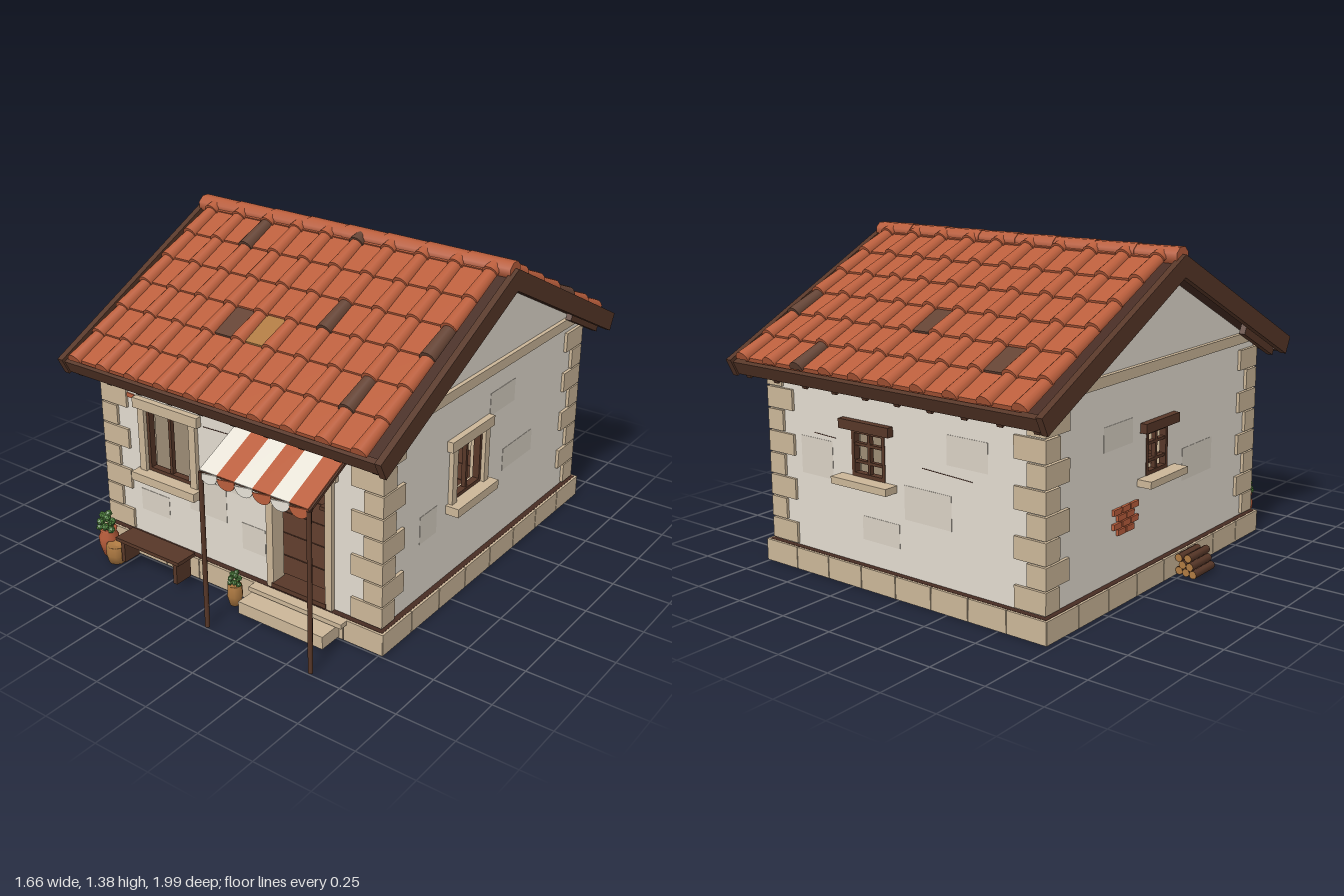
import * as THREE from 'three';

const mat = (name, color) => new THREE.MeshStandardMaterial({ name, color });

export function createModel() {
  const M = {
    plaster: mat('plaster', 0xe2dbcf),
    patch: mat('worn plaster', 0xd8d0c3),
    stone: mat('stone', 0xcbb698),
    tile: mat('terracotta', 0xba5e3c),
    wood: mat('brown wood', 0x573728),
    dark: mat('dark wood', 0x472c23),
    burnt: mat('burnt tile', 0x644334),
    ochre: mat('ochre', 0xae7a42),
    green: mat('leaf green', 0x528640),
    white: mat('awning white', 0xf0ebdf),
  };
  const model = new THREE.Group();
  model.name = 'cottage';

  const add = (p, name, geo, m, x = 0, y = 0, z = 0) => {
    const o = new THREE.Mesh(geo, m);
    o.name = name;
    o.position.set(x, y, z);
    p.add(o);
    return o;
  };
  const box = (p, name, m, w, h, d, x, y, z) => add(p, name, new THREE.BoxGeometry(w, h, d), m, x, y, z);
  const group = (p, name, x = 0, y = 0, z = 0) => {
    const g = new THREE.Group();
    g.name = name;
    g.position.set(x, y, z);
    p.add(g);
    return g;
  };
  const lathe = (p, name, m, pts, x, y, z, seg = 10) =>
    add(p, name, new THREE.LatheGeometry(pts.map(a => new THREE.Vector2(...a)), seg), m, x, y, z);

  const HW = 0.71, HD = 0.77, CX = 0.02, CZ = -0.062;
  const house = group(model, 'house', CX, 0, CZ);

  // Floor raised inside a hollow ring of plinth stones
  box(house, 'floorSlab', M.dark, 2 * HW + 0.05, 0.012, 2 * HD + 0.05, 0, 0.09, 0);
  for (let i = 0; i < 10; i++)
    box(house, 'floorBoard', M.wood, 2 * HW - 0.1, 0.012, 0.139, 0, 0.1, (i - 4.5) * 0.144);

  // Walls: plaster outside, stone lining inside, with openings cut through
  const wallGeo = (pts, holes, depth) => {
    const s = new THREE.Shape(pts.map(a => new THREE.Vector2(...a)));
    for (const [u0, u1, y0, y1] of holes)
      s.holes.push(new THREE.Path([[u0, y0], [u0, y1], [u1, y1], [u1, y0]].map(a => new THREE.Vector2(...a))));
    return new THREE.ExtrudeGeometry(s, { depth, bevelEnabled: false });
  };
  const rect = h => [[-h, 0.09], [h, 0.09], [h, 0.885], [-h, 0.885]];
  const gable = h => [[-h, 0.09], [h, 0.09], [h, 1.27 - h * 0.5], [0, 1.27], [-h, 1.27 - h * 0.5]];

  const windowFrame = (g, d, [u0, u1, y0, y1], rustic) => {
    const w = u1 - u0, h = y1 - y0, u = (u0 + u1) / 2, y = (y0 + y1) / 2, f = group(g, 'window');
    const t = 0.016;
    for (const s of [-1, 1]) {
      box(f, 'frameSide', M.wood, t, h, 0.03, u + s * (w - t) / 2, y, d - 0.012);
      box(f, 'frameRail', M.wood, w, t, 0.03, u, y + s * (h - t) / 2, d - 0.012);
      if (rustic) box(f, 'crossBar', M.wood, w, 0.012, 0.02, u, y + s * 0.036, d - 0.012);
      else box(f, 'stoneJamb', M.stone, 0.035, h, 0.03, u + s * (w / 2 + 0.016), y, d + 0.005);
    }
    box(f, 'mullion', M.wood, 0.014, h, 0.02, u, y, d - 0.012);
    if (rustic) {
      box(f, 'lintel', M.wood, w + 0.09, 0.04, 0.06, u, y1 + 0.02, d);
      box(f, 'sill', M.stone, w + 0.12, 0.03, 0.1, u, y0 - 0.015, d + 0.015);
    } else {
      box(f, 'lintel', M.stone, w + 0.105, 0.045, 0.045, u, y1 + 0.022, d + 0.005);
      box(f, 'sill', M.stone, w + 0.1, 0.038, 0.08, u, y0 - 0.019, d + 0.02);
    }
  };

  const walls = [
    { name: 'frontWall', rot: 0, half: HW, d: HD, win: [-0.475, -0.225, 0.415, 0.7], door: [0.202, 0.46, 0.1, 0.67],
      patches: [[-0.15, 0.38, 0.2, 0.16], [0, 0.55, 0.16, 0.2], [-0.45, 0.26, 0.16, 0.1], [0.09, 0.27, 0.12, 0.12]] },
    { name: 'leftWall', rot: Math.PI / 2, half: HD, d: HW, win: [-0.272, -0.057, 0.43, 0.67],
      patches: [[0.25, 0.45, 0.25, 0.1], [0.1, 0.75, 0.2, 0.1], [-0.45, 0.4, 0.12, 0.12]] },
    { name: 'backWall', rot: Math.PI, half: HW, d: HD, win: [-0.25, -0.07, 0.46, 0.655], rustic: true,
      patches: [[-0.45, 0.5, 0.18, 0.16], [0.15, 0.4, 0.24, 0.14], [0.35, 0.65, 0.2, 0.12], [-0.1, 0.25, 0.2, 0.1]] },
    { name: 'rightWall', rot: -Math.PI / 2, half: HD, d: HW, win: [-0.1, 0.06, 0.47, 0.655], rustic: true,
      patches: [[0.3, 0.45, 0.24, 0.14], [-0.3, 0.68, 0.2, 0.1]] },
  ];
  for (const w of walls) {
    const g = group(house, w.name);
    g.rotation.y = w.rot;
    const holes = w.door ? [w.win, w.door] : [w.win], side = w.half === HD;
    const shape = side ? gable : rect;
    add(g, 'plasterWall', wallGeo(shape(w.half), holes, 0.03), M.plaster, 0, 0, w.d - 0.03);
    add(g, 'innerLining', wallGeo(shape(w.half - 0.03), holes, 0.02), M.stone, 0, 0, w.d - 0.05);
    windowFrame(g, w.d, w.win, w.rustic);
    for (const [u, y, pw, ph] of w.patches) box(g, 'plasterPatch', M.patch, pw, ph, 0.003, u, y, w.d);
    if (side) box(g, 'gableBand', M.stone, 1.4, 0.043, 0.03, 0, 0.914, w.d + 0.003);
    // Plinth blocks along this side
    const n = 8, len = 2 * (w.half + 0.035), step = len / n;
    for (let i = 0; i < n; i++)
      box(g, 'plinthBlock', M.stone, step - 0.004, 0.094, 0.05, -len / 2 + step * (i + 0.5), 0.048, w.d + 0.01);
    // Doorway surround
    if (w.door) {
      for (const u of [0.186, 0.476]) box(g, 'doorJamb', M.stone, 0.033, 0.58, 0.06, u, 0.385, w.d - 0.01);
      box(g, 'doorLintel', M.stone, 0.36, 0.055, 0.06, 0.331, 0.695, w.d - 0.01);
      box(g, 'threshold', M.wood, 0.27, 0.02, 0.09, 0.331, 0.11, w.d - 0.02);
    }
  }

  // Bare brick and hairline cracks
  for (let r = 0; r < 4; r++)
    for (let i = 0; i < 2 + (r % 2); i++)
      box(house, 'bareBrick', M.tile, 0.024, 0.024, 0.054, -HW, 0.29 + r * 0.029, -0.28 + i * 0.06 + (r % 2 ? -0.03 : 0));
  box(house, 'bareBrick', M.tile, 0.045, 0.018, 0.012, -0.56, 0.735, HD);
  for (const [x, y, w, z] of [[-0.09, 0.705, 0.14, HD], [0.4, 0.6, 0.12, -HD], [-0.25, 0.55, 0.25, -HD]])
    box(house, 'crack', M.dark, w, 0.0025, 0.004, x, y, z).rotation.z = 0.04;

  // Corner stones, alternating long and short
  for (const sx of [-1, 1]) for (const sz of [-1, 1]) for (let i = 0; i < 8; i++) {
    const w = i % 2 ? 0.088 : 0.147, d = i % 2 ? 0.147 : 0.088;
    box(house, 'cornerStone', M.stone, w, 0.089, d, sx * (HW + 0.014 - w / 2), 0.148 + i * 0.0955, sz * (HD + 0.012 - d / 2));
  }

  // Roof: each slope is built along local +z running downhill
  const roof = group(model, 'roof', 0.018, 1.35, -0.06);
  const L = 1.034, PITCH = 0.161, COL = 0.158;
  const odd = {
    'f c 2 5': M.burnt, 'f c 6 3': M.burnt, 'f c 9 3': M.burnt, 'f c 8 1': M.burnt, 'f c 5 6': M.burnt,
    'f p 4 2': M.burnt, 'f p 5 2': M.ochre,
    'b c 7 0': M.burnt, 'b c 9 2': M.burnt, 'b p 2 1': M.burnt, 'b p 5 2': M.burnt,
  };
  const coverGeo = len => new THREE.CylinderGeometry(0.035, 0.029, len, 8, 1, false, Math.PI / 2, Math.PI).rotateX(Math.PI / 2);
  for (const s of [1, -1]) {
    const face = group(roof, s > 0 ? 'frontSlope' : 'backSlope');
    face.rotation.y = s > 0 ? 0 : Math.PI;
    const g = group(face, 'slope');
    g.rotation.x = 0.4625;
    const key = s > 0 ? 'f' : 'b';
    box(g, 'deck', M.dark, 1.57, 0.035, L - 0.01, 0, -0.037, L / 2 - 0.005);
    box(g, 'fascia', M.wood, 1.57, 0.06, 0.025, 0, -0.045, L - 0.02);
    for (const e of [-1, 1]) box(g, 'bargeBoard', M.wood, 0.028, 0.08, L, e * 0.795, -0.04, L / 2);
    for (let i = 0; i < 10; i++) {
      const x = s * (i - 4.5);
      box(g, 'rafterTail', M.wood, 0.027, 0.045, 0.3, x * 0.165, -0.077, L - 0.17);
      for (let k = 0; k < 7; k++) {
        const end = L - 0.018 - k * PITCH, len = Math.min(PITCH + 0.02, end);
        add(g, 'coverTile', coverGeo(len), odd[`${key} c ${i} ${k}`] || M.tile, x * COL, 0.003, end + 0.01 - len / 2).rotation.x = -0.05;
        if (i > 0)
          box(g, 'panTile', odd[`${key} p ${i} ${k}`] || M.tile, 0.152, 0.02, len, s * (i - 5) * COL, -0.002, end - len / 2).rotation.x = -0.06;
      }
    }
  }
  for (let i = 0; i < 8; i++)
    add(roof, 'ridgeTile', new THREE.CylinderGeometry(0.04, 0.037, 0.205, 8).rotateY(Math.PI / 8).rotateZ(Math.PI / 2),
      M.tile, (i - 3.5) * 0.197, -0.008, 0).scale.z = 1.15;

  // Striped awning with scalloped edge, side arms and two posts
  const awning = group(model, 'awning');
  const W = 0.0855, scallop = new THREE.Shape();
  scallop.moveTo(-W / 2, 0).absellipse(0, -0.012, W / 2, 0.035, Math.PI, 2 * Math.PI, false).lineTo(W / 2, 0);
  for (let i = 0; i < 6; i++) {
    const m = i % 2 ? M.tile : M.white, x = 0.092 + W * (i + 0.5);
    box(awning, 'stripe', m, W, 0.006, 0.29, x, 0.762, 0.86).rotation.x = 0.448;
    add(awning, 'scallop', new THREE.ExtrudeGeometry(scallop, { depth: 0.005, bevelEnabled: false }), m, x, 0.698, 0.987);
  }
  for (const x of [0.094, 0.606]) {
    add(awning, 'post', new THREE.CylinderGeometry(0.01, 0.01, 0.69, 8), M.wood, x, 0.347, 0.987);
    box(awning, 'sideArm', M.wood, 0.012, 0.012, 0.29, x, 0.754, 0.857).rotation.x = 0.448;
  }
  box(awning, 'frontBar', M.wood, 0.53, 0.01, 0.01, 0.35, 0.694, 0.98);

  // Door step
  box(model, 'step', M.stone, 0.42, 0.055, 0.115, 0.35, 0.037, 0.795);
  box(model, 'upperStep', M.stone, 0.46, 0.02, 0.05, 0.365, 0.085, 0.755);

  // Bench
  const bench = group(model, 'bench', -0.333, 0, 0.827);
  box(bench, 'seat', M.wood, 0.355, 0.016, 0.105, 0, 0.138, 0);
  box(bench, 'stretcher', M.wood, 0.28, 0.014, 0.015, 0, 0.122, 0);
  for (const s of [-1, 1]) box(bench, 'leg', M.wood, 0.02, 0.1, 0.085, s * 0.148, 0.083, 0);

  // Pots and plants
  const plant = (x, y, z, r) => {
    const g = group(model, 'plant', x, y, z);
    for (let i = 0; i < 11; i++) {
      const a = i * 2.4, q = i < 7 ? r * 0.65 : r * 0.3;
      const leaf = add(g, 'leaf', new THREE.IcosahedronGeometry(r * 0.42, 0), M.green, q * Math.cos(a), r * (0.3 + i * 0.16), q * Math.sin(a));
      leaf.rotation.set(a, a, 0);
    }
  };
  const urn = [[0, 0], [0.026, 0], [0.04, 0.05], [0.044, 0.09], [0.034, 0.11], [0.04, 0.127], [0.03, 0.127], [0, 0.115]];
  lathe(model, 'clayUrn', M.tile, urn, -0.61, 0.008, 0.825);
  plant(-0.61, 0.125, 0.835, 0.042);
  const barrel = [[0, 0], [0.036, 0], [0.046, 0.04], [0.045, 0.08], [0.039, 0.08], [0, 0.07]];
  lathe(model, 'woodenTub', M.ochre, barrel, -0.54, 0.008, 0.85);
  lathe(model, 'ochrePot', M.ochre, [[0, 0], [0.022, 0], [0.033, 0.045], [0.03, 0.09], [0.024, 0.09], [0, 0.08]], 0.088, 0.012, 0.81);
  plant(0.088, 0.1, 0.81, 0.03);

  // Firewood stack
  const logs = group(model, 'firewood', -0.78, 0, 0.098);
  [[-0.036, 0], [0, 0], [0.036, 0], [-0.02, 1], [0.017, 1], [-0.004, 2], [0.032, 2]].forEach(([x, row], i) =>
    add(logs, 'log', new THREE.CylinderGeometry(0.0175, 0.0175, 0.155, 8).rotateX(Math.PI / 2),
      [M.wood, M.ochre, M.ochre], x, 0.025 + row * 0.03, (i % 3 - 1) * 0.006));

  // Furniture inside
  const inside = group(model, 'furniture');
  for (const x of [0.1, 0.25]) box(inside, 'chairPost', M.wood, 0.018, 0.21, 0.018, x, 0.205, 0.1);
  box(inside, 'chairRail', M.wood, 0.2, 0.018, 0.018, 0.175, 0.31, 0.1);
  box(inside, 'chairSeat', M.wood, 0.17, 0.018, 0.15, 0.175, 0.2, 0.17);
  lathe(inside, 'storageJar', M.tile, [[0, 0], [0.03, 0], [0.065, 0.08], [0.06, 0.13], [0.03, 0.18], [0.04, 0.2]], 0.5, 0.12, 0.35);
  box(inside, 'shelf', M.wood, 0.1, 0.014, 0.12, -0.6, 0.52, 0.055);
  box(inside, 'shelfBracket', M.wood, 0.08, 0.05, 0.014, -0.61, 0.49, 0.02);
  lathe(inside, 'shelfPot', M.tile, [[0, 0], [0.012, 0], [0.025, 0.025], [0.014, 0.045], [0.02, 0.055]], -0.6, 0.527, 0.06);

  return model;
}
